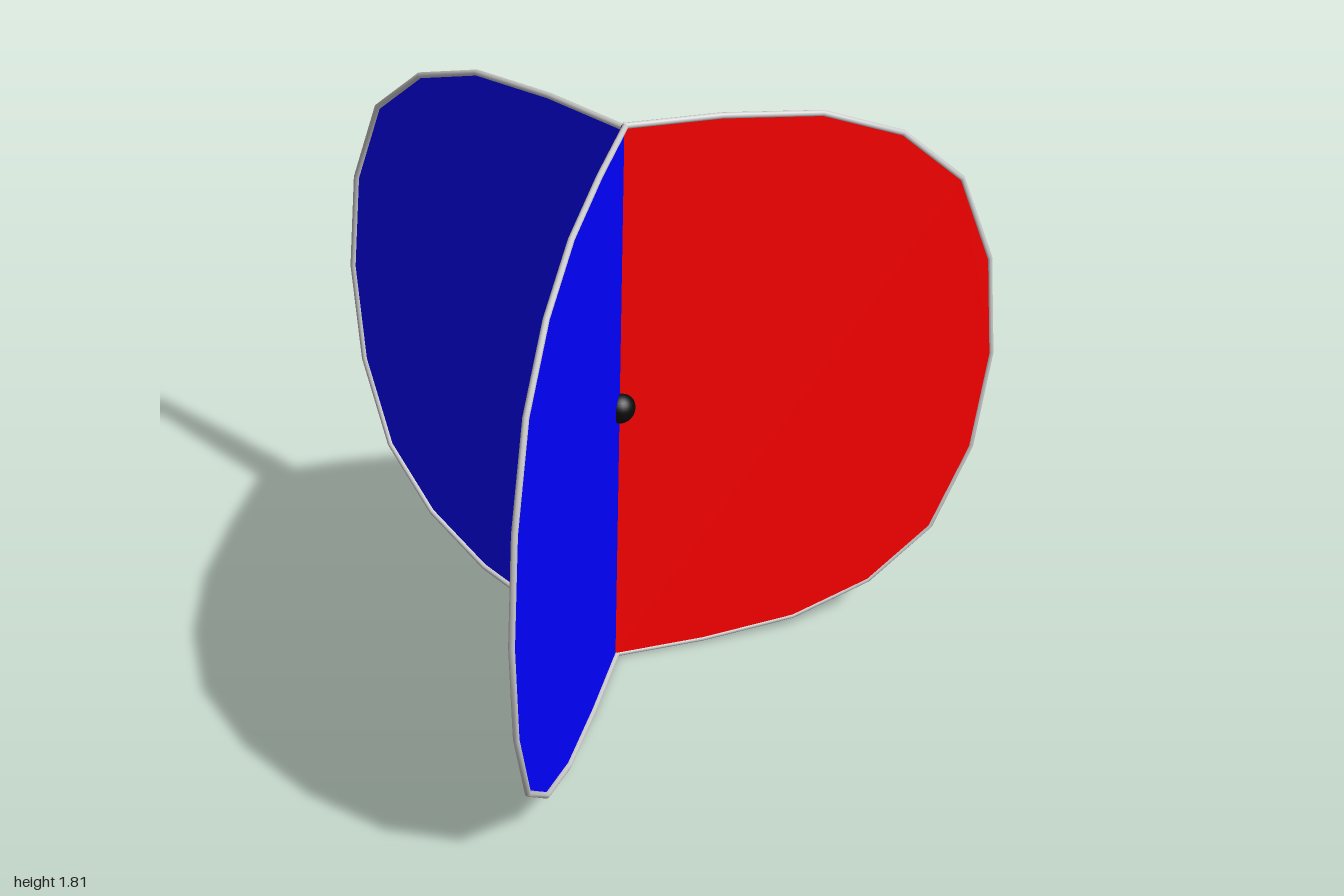
import * as THREE from 'three';

const MID = 0.906; // height of the hub
// Upper quarter of the vane outline: distance from the axis, height above the hub
const QUARTER = [[0, 0.897], [0.28, 0.892], [0.568, 0.862], [0.808, 0.77], [0.998, 0.601], [1.107, 0.325], [1.142, 0]];

// Full outline from bottom to top; mirror = -1 flips it to the other side of the axis
function outline(mirror = 1) {
  const lower = QUARTER.slice(0, -1).map(([u, v]) => [u, -v]);
  return [...lower, ...QUARTER.slice().reverse()].map(([u, v]) => new THREE.Vector2(u * mirror, v));
}

// Straight-sided path that puts one tube ring exactly on each corner
class CornerPath extends THREE.Curve {
  constructor(points) {
    super();
    this.points = points;
  }

  getPoint(t) {
    const last = this.points.length - 1;
    const i = Math.min(Math.floor(t * last), last - 1);
    const p = this.points[i].clone().lerp(this.points[i + 1], t * last - i);
    return new THREE.Vector3(p.x, p.y, 0);
  }

  getPointAt(t) {
    return this.getPoint(t);
  }

  getTangentAt(t) {
    return this.getTangent(t);
  }
}

function mesh(name, geometry, color, side = THREE.FrontSide) {
  const m = new THREE.Mesh(geometry, new THREE.MeshStandardMaterial({ color, side }));
  m.name = name;
  return m;
}

// One vane reaching out along +x: red on +z, blue on -z, grey rim
function vane() {
  const group = new THREE.Group();
  const red = mesh('redFace', new THREE.ShapeGeometry(new THREE.Shape(outline())), 0xff0000, THREE.DoubleSide);
  red.position.z = 0.002;
  const blue = mesh('blueFace', new THREE.ShapeGeometry(new THREE.Shape(outline(-1))), 0x0000ff, THREE.DoubleSide);
  blue.rotation.y = Math.PI;
  blue.position.z = -0.002;

  // Wire rim along the curved edge
  const corners = outline();
  const wire = new THREE.TubeGeometry(new CornerPath(corners), corners.length - 1, 0.009, 8);
  const rim = mesh('rim', wire, 0xcccccc, THREE.DoubleSide);
  rim.position.z = -0.004;
  group.add(red, blue, rim);
  return group;
}

export function createModel() {
  const model = new THREE.Group();
  model.name = 'threeVaneFan';
  const fan = new THREE.Group();
  fan.position.set(-0.003, MID, 0.28);
  model.add(fan);

  // Three vanes, the first pointing straight back
  ['backVane', 'rightVane', 'leftVane'].forEach((name, i) => {
    const v = vane();
    v.name = name;
    v.rotation.y = Math.PI / 2 + (i * Math.PI * 2) / 3;
    fan.add(v);
  });

  // Black ball at the middle of the axis
  fan.add(mesh('hub', new THREE.SphereGeometry(0.047, 24, 16), 0x0a0a0a));
  return model;
}
